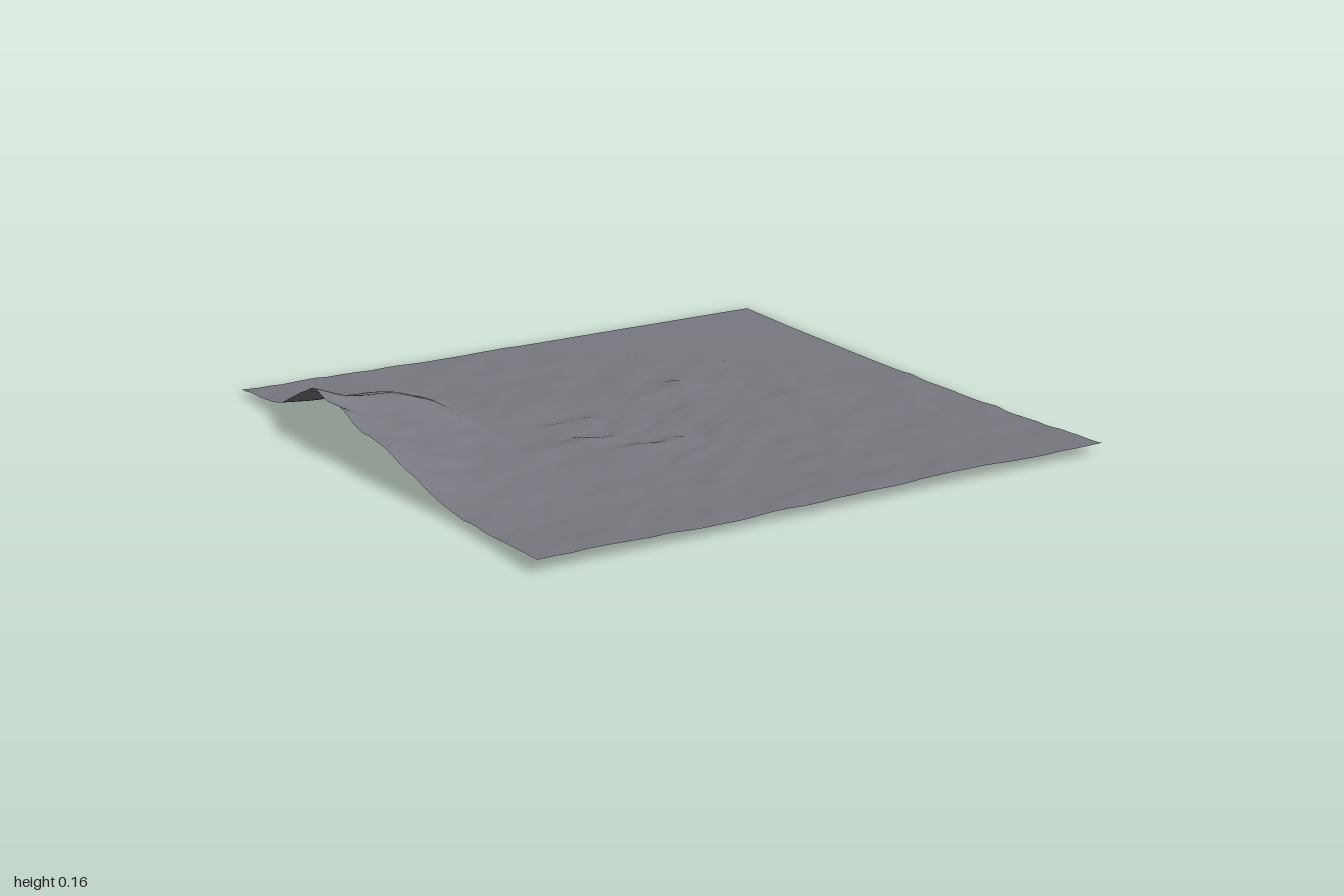
import * as THREE from 'three';

// Height cross-sections running back to front, one per x station
const STATIONS_Z = [-1, -0.8, -0.7, -0.6, -0.5, -0.42, -0.33, -0.25, -0.1, 0, 0.2, 0.4, 0.6, 1];
const SECTIONS = [
  [-1, [0.015, 0.033, 0.045, 0.09, 0.135, 0.165, 0.148, 0.154, 0.115, 0.11, 0.075, 0.04, 0.026, 0.042]],
  [-0.85, [0.013, 0.022, 0.035, 0.065, 0.1, 0.118, 0.09, 0.08, 0.067, 0.062, 0.045, 0.027, 0.02, 0.041]],
  [-0.72, [0.012, 0.018, 0.03, 0.058, 0.092, 0.106, 0.085, 0.068, 0.048, 0.038, 0.027, 0.02, 0.017, 0.039]],
  [-0.58, [0.01, 0.015, 0.02, 0.032, 0.047, 0.053, 0.05, 0.044, 0.03, 0.022, 0.018, 0.014, 0.014, 0.035]],
  [-0.5, [0.009, 0.01, 0.012, 0.014, 0.016, 0.016, 0.016, 0.015, 0.014, 0.013, 0.012, 0.011, 0.013, 0.033]],
  [0.3, [0.01, 0.007, 0.007, 0.007, 0.008, 0.01, 0.011, 0.012, 0.012, 0.012, 0.013, 0.015, 0.02, 0.042]],
  [1, [0.01, 0.007, 0.006, 0.006, 0.006, 0.006, 0.006, 0.006, 0.007, 0.009, 0.011, 0.014, 0.018, 0.034]],
];
const STATIONS_X = SECTIONS.map((s) => s[0]);

// Small mounds on the plain: x, z, height, x radius, z radius
const MOUNDS = [
  [-0.2, 0.24, 0.014, 0.1, 0.05], [-0.07, 0.21, 0.01, 0.05, 0.04], [-0.33, 0.1, 0.01, 0.09, 0.05],
  [-0.5, 0.1, 0.008, 0.05, 0.06], [0.1, -0.22, 0.012, 0.08, 0.06], [0.27, -0.28, 0.011, 0.06, 0.06],
  [0.18, -0.07, 0.01, 0.06, 0.05], [-0.13, -0.09, 0.01, 0.08, 0.05], [-0.1, 0.36, 0.008, 0.06, 0.04],
  [-0.25, -0.35, 0.008, 0.07, 0.05], [0.45, 0.43, 0.008, 0.07, 0.04], [0.58, 0.0, 0.007, 0.07, 0.03],
];

// Smooth interpolation through unevenly spaced values, without overshoot
function interpolate(keys, values, t) {
  const last = keys.length - 1;
  let i = 0;
  while (i < last - 1 && t > keys[i + 1]) i++;
  const secant = (k) => (values[k + 1] - values[k]) / (keys[k + 1] - keys[k]);
  const slope = (k) => {
    const a = secant(Math.max(k - 1, 0)), b = secant(Math.min(k, last - 1));
    return a * b <= 0 ? 0 : (2 * a * b) / (a + b);
  };
  const h = keys[i + 1] - keys[i];
  const u = THREE.MathUtils.clamp((t - keys[i]) / h, 0, 1);
  const u2 = u * u, u3 = u2 * u;
  return (2 * u3 - 3 * u2 + 1) * values[i] + (u3 - 2 * u2 + u) * h * slope(i)
    + (3 * u2 - 2 * u3) * values[i + 1] + (u3 - u2) * h * slope(i + 1);
}

// Seeded value noise in the range -1 to 1
function hash(ix, iz) {
  const s = Math.sin(ix * 127.1 + iz * 311.7) * 43758.5453;
  return (s - Math.floor(s)) * 2 - 1;
}
function noise(x, z) {
  const ix = Math.floor(x), iz = Math.floor(z);
  const u = THREE.MathUtils.smoothstep(x - ix, 0, 1);
  const v = THREE.MathUtils.smoothstep(z - iz, 0, 1);
  const { lerp } = THREE.MathUtils;
  return lerp(lerp(hash(ix, iz), hash(ix + 1, iz), u),
    lerp(hash(ix, iz + 1), hash(ix + 1, iz + 1), u), v);
}

function heightAt(x, z) {
  const broad = interpolate(STATIONS_X, SECTIONS.map((s) => interpolate(STATIONS_Z, s[1], z)), x);
  const mounds = MOUNDS.reduce((sum, [mx, mz, height, rx, rz]) =>
    sum + height * Math.exp(-(((x - mx) / rx) ** 2) - ((z - mz) / rz) ** 2), 0);
  // Rough ground is strongest in the middle and stops at the flat back corner
  const rough = THREE.MathUtils.smoothstep(1.05 - (x - z), 0, 0.06);
  const centre = Math.exp(-(x * x + z * z) / 0.25);
  const bumps = noise(x * 9 + 40, z * 11 + 17) + 0.5 * noise(x * 19 + 9, z * 25 + 71);
  return Math.max(0, broad + rough * (0.002 + mounds + (0.003 + 0.004 * centre) * bumps));
}

export function createModel() {
  const model = new THREE.Group();
  model.name = 'landscape';

  // Open ground sheet raised by the height rule
  const geometry = new THREE.PlaneGeometry(2, 1.985, 110, 110).rotateX(-Math.PI / 2);
  const position = geometry.attributes.position;
  for (let i = 0; i < position.count; i++) {
    position.setY(i, heightAt(position.getX(i), position.getZ(i)));
  }
  geometry.computeVertexNormals();

  const material = new THREE.MeshStandardMaterial({ color: 0x787980, side: THREE.DoubleSide });
  const terrain = new THREE.Mesh(geometry, material);
  terrain.name = 'terrain';
  model.add(terrain);
  return model;
}
